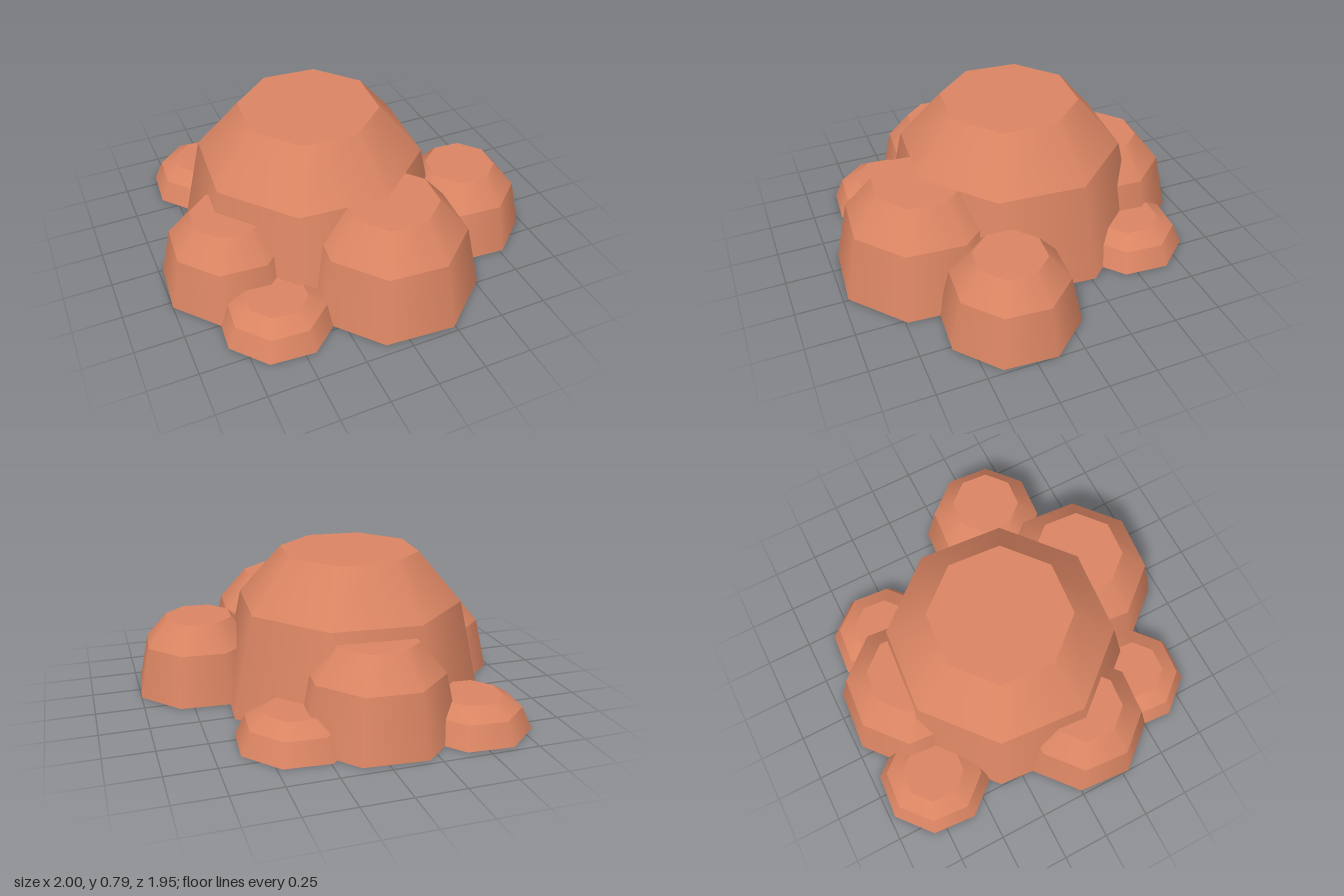
import * as THREE from 'three';

const SIDES = 8;
const TURN = THREE.MathUtils.degToRad(18);

export function createModel() {
  const clay = new THREE.MeshStandardMaterial({ color: 0xd98462 });
  clay.name = 'clay';
  const underside = new THREE.MeshStandardMaterial({ color: 0xa8abb8 });
  underside.name = 'grey underside';

  const model = new THREE.Group();
  model.name = 'boulderCluster';

  function part(parent, name, geometry, material, y) {
    const mesh = new THREE.Mesh(geometry, material);
    mesh.name = name;
    mesh.position.y = y;
    parent.add(mesh);
  }

  // open octagonal ring, smooth around and sharp at its rims
  const band = (top, bottom, height) =>
    new THREE.CylinderGeometry(top, bottom, height, SIDES, 1, true, TURN);

  // one boulder: steep wall, sloping shoulder, flat top and flat base
  function boulder(name, x, z, radius, height, capRatio = 0.515) {
    const rock = new THREE.Group();
    rock.name = name;
    rock.position.set(x, 0, z);
    const rim = radius * 0.835;
    const cap = radius * capRatio;
    const rimY = height * 0.67;

    part(rock, 'wall', band(rim, radius, rimY), clay, rimY / 2);
    part(rock, 'shoulder', band(cap, rim, height - rimY), clay, (rimY + height) / 2);
    part(rock, 'top', new THREE.CircleGeometry(cap, SIDES, TURN).rotateX(-Math.PI / 2), clay, height);
    part(rock, 'base', new THREE.CircleGeometry(radius, SIDES, -TURN).rotateX(Math.PI / 2), underside, 0);
    model.add(rock);
  }

  // main mound
  boulder('mainBoulder', -0.105, -0.052, 0.715, 0.79);

  // medium boulders around it
  boulder('frontBoulder', 0.095, 0.525, 0.472, 0.53);
  boulder('backBoulder', -0.065, -0.572, 0.42, 0.47);
  boulder('rightSideBoulder', -0.642, 0.17, 0.376, 0.415);
  boulder('leftSideBoulder', 0.658, 0.25, 0.36, 0.4);

  // low stones in the gaps
  boulder('frontStone', -0.54, 0.565, 0.3, 0.165, 0.53);
  boulder('backRightStone', -0.535, -0.68, 0.308, 0.17, 0.53);
  boulder('backLeftStone', 0.336, -0.575, 0.307, 0.165, 0.53);

  return model;
}
